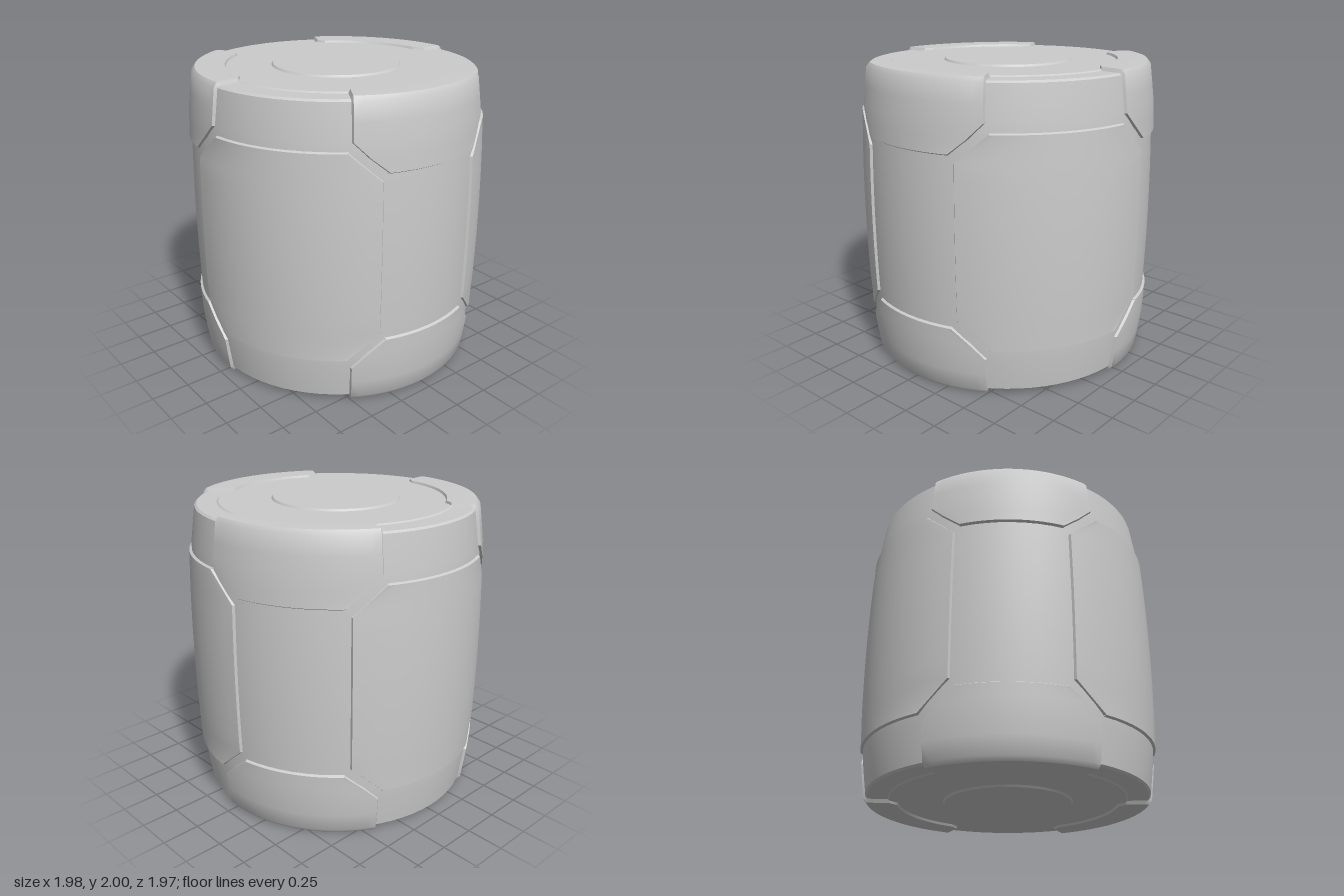
import * as THREE from 'three';
import { toCreasedNormals } from 'three/addons/utils/BufferGeometryUtils.js';

const DEG = Math.PI / 180;
const RAISE = 0.016, BEVEL = 0.012, SINK = 0.008;
const material = new THREE.MeshStandardMaterial({ color: 0xcccccc });

// Barrel wall radius at a height
function wall(y) {
  const d = Math.abs(y - 1);
  return d < 0.74 ? 0.976 - 0.036 * d * d : 0.956 - (d - 0.74) * 0.13;
}

// Curved bevelled plate wrapped around the axis.
// rows: [radius, height, half angle in degrees] along its centre line.
function plateGeometry(rows, centre, flip, columns = 18) {
  const n = rows.length;
  const raised = rows.map(([r, y, h], i) => {
    const a = rows[Math.max(i - 1, 0)], b = rows[Math.min(i + 1, n - 1)];
    const len = Math.hypot(b[0] - a[0], b[1] - a[1]);
    const tr = (b[0] - a[0]) / len, ty = (b[1] - a[1]) / len;
    const slide = i === 0 ? BEVEL : i === n - 1 ? -BEVEL : 0;
    return { r: r + tr * slide, y: y + ty * slide, nr: ty, ny: -tr, h: h * DEG };
  });
  // the first and last rows are repeated at the foot of the bevel
  const foot = i => ({ ...raised[i], r: rows[i][0], y: rows[i][1] });
  const all = [foot(0), ...raised, foot(n - 1)];
  const R = all.length, C = columns + 3;
  const position = [], index = [];
  all.forEach((p, i) => {
    for (let j = 0; j < C; j++) {
      const side = j === 0 || j === C - 1;
      const off = side || i === 0 || i === R - 1 ? -SINK : RAISE;
      const u = THREE.MathUtils.clamp((j - 1) / columns, 0, 1) * 2 - 1;
      const angle = centre * DEG + u * (side ? p.h : p.h - BEVEL / p.r);
      const r = p.r + p.nr * off, y = p.y + p.ny * off;
      position.push(Math.sin(angle) * r, flip ? 2 - y : y, Math.cos(angle) * r);
      if (i < R - 1 && j < C - 1) {
        const a = i * C + j, b = a + 1, c = b + C, d = a + C;
        if (flip) index.push(a, c, b, a, d, c);
        else index.push(a, b, c, a, c, d);
      }
    }
  });
  const g = new THREE.BufferGeometry();
  g.setAttribute('position', new THREE.Float32BufferAttribute(position, 3));
  g.setIndex(index);
  return toCreasedNormals(g, 0.6);
}

export function createModel() {
  const model = new THREE.Group();
  model.name = 'barrel';
  const add = (name, geometry) => {
    const mesh = new THREE.Mesh(geometry, material);
    mesh.name = name;
    model.add(mesh);
    return mesh;
  };

  // Barrel body with a shallow step on each end
  const half = [[0, 1.985], [0.77, 1.985], [0.78, 1.977], [0.91, 1.977], [0.924, 1.965]];
  const profile = half.map(([r, y]) => [r, 2 - y]);
  for (let i = 0; i <= 16; i++) {
    const y = 0.26 + i * 1.48 / 16;
    profile.push([wall(y), y]);
  }
  profile.push(...half.slice().reverse());
  const body = new THREE.LatheGeometry(profile.map(p => new THREE.Vector2(...p)), 72);
  add('body', toCreasedNormals(body, 0.35));

  // Raised round lids
  for (const top of [true, false]) {
    const lid = new THREE.CylinderGeometry(top ? 0.415 : 0.43, top ? 0.43 : 0.415, 0.02, 48);
    add(top ? 'topLid' : 'bottomLid', lid).position.y = top ? 1.988 : 0.012;
  }

  // Eight-sided side panels
  const panelRows = [[wall(0.31), 0.31, 26.5]];
  for (let i = 0; i <= 10; i++) {
    const y = 0.5 + i * 0.1;
    panelRows.push([wall(y), y, 38.5]);
  }
  panelRows.push([wall(1.69), 1.69, 26.5]);
  for (const angle of [60, 180, 300]) add('sidePanel', plateGeometry(panelRows, angle, false));

  // Brackets folding over the top and bottom rims
  const bracketRows = [
    [wall(1.54), 1.54, 20.3], [wall(1.64), 1.64, 26.8], [wall(1.74), 1.74, 33],
    [wall(1.85), 1.85, 33], [0.926, 1.967, 33], [0.913, 1.984, 33],
    [0.89, 1.984, 33], [0.77, 1.984, 33], [0.715, 1.984, 29],
  ];
  for (const angle of [0, 120, 240]) {
    add('topBracket', plateGeometry(bracketRows, angle, false));
    add('bottomBracket', plateGeometry(bracketRows, angle, true));
  }
  return model;
}
